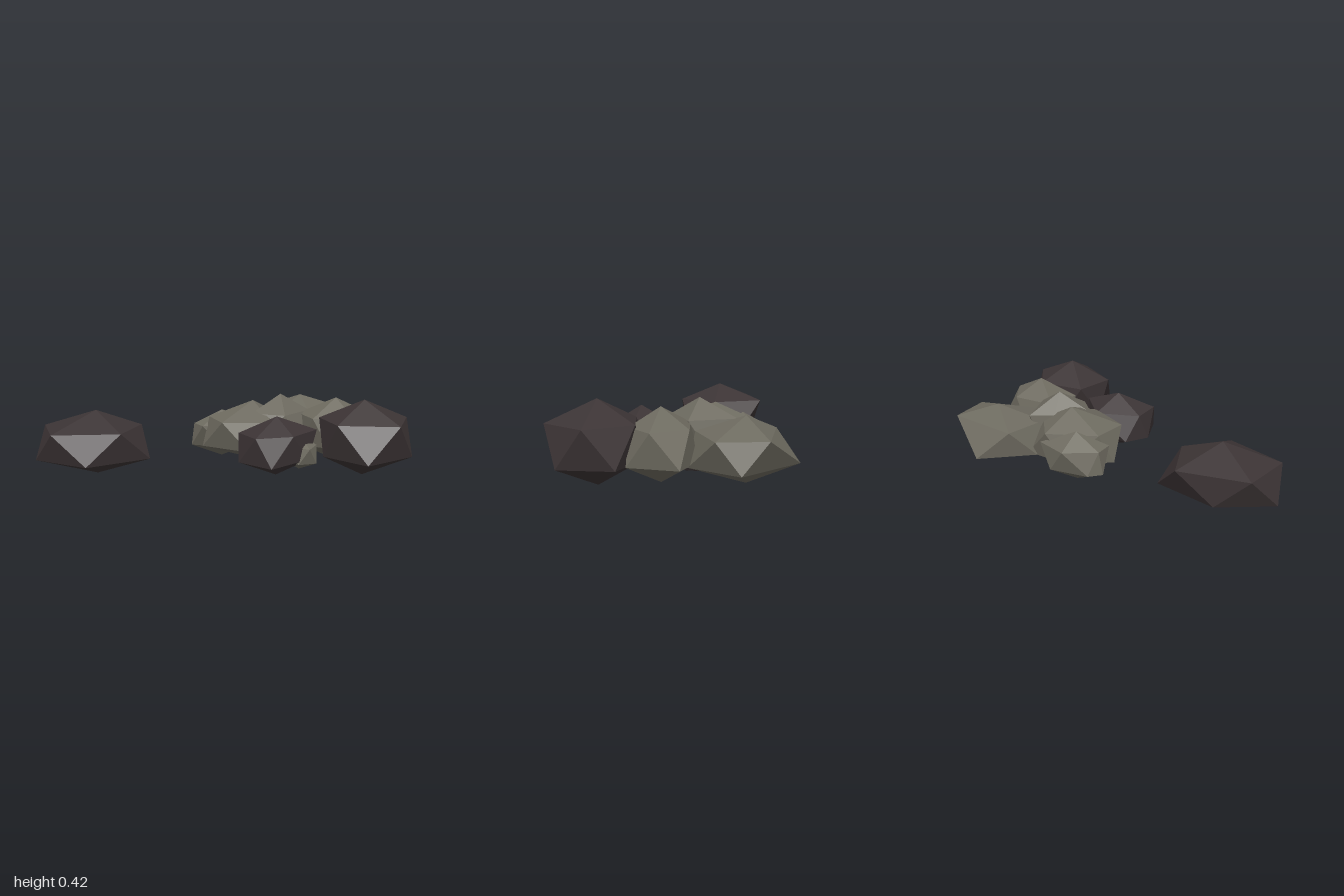
import * as THREE from 'three';
import { ConvexGeometry } from 'three/addons/geometries/ConvexGeometry.js';

// Ten [x, z] points of a regular rock outline
function oval(cx, cz, rx, rz, turn = 0) {
  return Array.from({ length: 10 }, (_, i) => {
    const a = turn + (i * Math.PI) / 5;
    return [cx + rx * Math.cos(a), cz + rz * Math.sin(a)];
  });
}

// Twenty-sided rock: two poles and a ring whose points alternate high, low
function rock(name, material, [px, pz], bottom, top, ring) {
  const mid = (top + bottom) / 2, rise = (top - bottom) * 0.23;
  const points = ring.map(([x, z], i) => new THREE.Vector3(x, mid + (i % 2 ? -rise : rise), z));
  points.push(new THREE.Vector3(px, top, pz), new THREE.Vector3(px, bottom, pz));
  const mesh = new THREE.Mesh(new ConvexGeometry(points), material);
  mesh.name = name;
  return mesh;
}

export function createModel() {
  const group = new THREE.Group();
  group.name = 'rockPile';
  const dark = new THREE.MeshStandardMaterial({ name: 'darkStone', color: 0x3c3435, flatShading: true });
  const grey = new THREE.MeshStandardMaterial({ name: 'greyStone', color: 0x6e6b60, flatShading: true });

  group.add(
    // Dark outer rocks
    rock('loneRock', dark, [-0.67, -0.05], 0.02, 0.37, [
      [-0.58, 0.18], [-0.77, 0.2], [-0.93, 0.1], [-1, -0.05], [-0.93, -0.2],
      [-0.76, -0.26], [-0.57, -0.32], [-0.39, -0.22], [-0.42, -0.05], [-0.41, 0.1]]),
    rock('frontLeftRock', dark, [0.73, 0.355], 0, 0.42, [
      [0.82, 0.59], [0.63, 0.605], [0.52, 0.46], [0.5, 0.34], [0.53, 0.21],
      [0.64, 0.15], [0.81, 0.15], [0.95, 0.21], [1, 0.35], [0.96, 0.49]]),
    rock('frontRock', dark, [0.26, 0.25], 0.01, 0.335, [
      [0.09, 0.38], [0.04, 0.26], [0.06, 0.2], [0.1, 0.12], [0.29, 0.08],
      [0.39, 0.14], [0.5, 0.25], [0.42, 0.32], [0.3, 0.39], [0.15, 0.46]]),

    // Grey rocks of the heap
    rock('backRock', grey, [0.66, -0.35], 0.02, 0.345, [
      [0.88, -0.48], [0.58, -0.605], [0.44, -0.48], [0.36, -0.35], [0.43, -0.22],
      [0.5, -0.15], [0.62, -0.1], [0.78, -0.09], [0.94, -0.24], [0.95, -0.36]]),
    rock('leftRock', grey, [0.71, 0.05], 0.02, 0.385, [
      [0.92, 0.06], [0.88, 0.18], [0.75, 0.2], [0.6, 0.2], [0.52, 0.15],
      [0.49, 0.05], [0.52, -0.06], [0.66, -0.13], [0.78, -0.1], [0.92, -0.08]]),
    rock('innerRock', grey, [0.27, -0.15], 0.01, 0.36, [
      [0.27, -0.37], [0.43, -0.35], [0.45, -0.2], [0.42, -0.02], [0.3, 0.09],
      [0.16, 0.09], [0.03, 0], [-0.04, -0.15], [0.02, -0.21], [0.15, -0.33]]),
    rock('peakRock', grey, [0.42, -0.09], 0.03, 0.4, [
      [0.47, -0.29], [0.57, -0.17], [0.59, -0.06], [0.5, 0.11], [0.38, 0.08],
      [0.2, 0.04], [0.22, -0.04], [0.28, -0.13], [0.36, -0.2], [0.41, -0.26]]),
    rock('backRightRock', grey, [0.12, -0.28], 0.01, 0.29, [
      [0.1, -0.42], [-0.02, -0.35], [-0.05, -0.29], [-0.07, -0.28], [-0.03, -0.18],
      [0.08, -0.16], [0.2, -0.17], [0.3, -0.22], [0.3, -0.38], [0.2, -0.41]]),

    // Small rocks tucked beneath
    rock('wedgedPebble', grey, [0.4, 0.24], 0.03, 0.22, oval(0.4, 0.24, 0.09, 0.14, 0.3)),
    rock('buriedRock', dark, [0.48, -0.12], 0.03, 0.2, oval(0.48, -0.12, 0.25, 0.13)),
  );
  return group;
}
